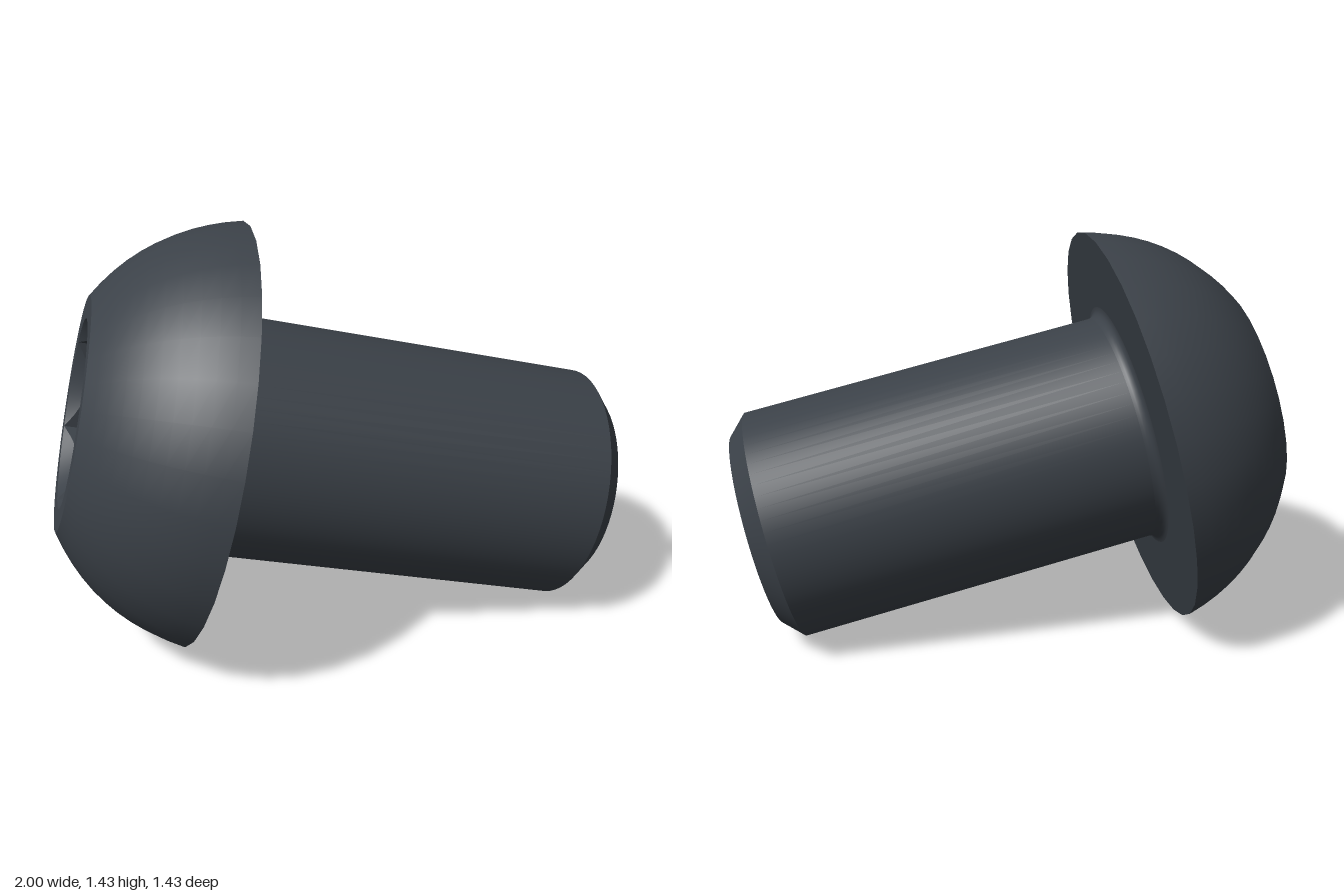
import * as THREE from 'three';
import { toCreasedNormals } from 'three/addons/utils/BufferGeometryUtils.js';

const HEAD_R = 0.733, HEAD_H = 0.461, FACE_R = 0.4;
const SHANK_R = 0.418, TIP_R = 0.351, LENGTH = 1.4;
const HEX_FLAT = 0.279, HEX_CORNER = HEX_FLAT / Math.cos(Math.PI / 6);
const SOCKET_DEPTH = 0.32, BEVEL_DEPTH = 0.06;

export function createModel() {
  const steel = new THREE.MeshStandardMaterial({ color: 0x3b4148 });
  steel.name = 'dark steel';

  const model = new THREE.Group();
  model.name = 'buttonHeadScrew';

  const add = (name, geometry) => {
    const mesh = new THREE.Mesh(geometry, steel);
    mesh.name = name;
    model.add(mesh);
  };
  // Each band is turned on its own, so the edges between bands stay sharp
  const turn = (name, points, sides = 32) =>
    add(name, new THREE.LatheGeometry(points.map(([r, y]) => new THREE.Vector2(r, y)), sides));

  // Shank, from the tip up to the fillet under the head
  const chamferY = -LENGTH + SHANK_R - TIP_R;
  turn('tipFace', [[0, -LENGTH], [TIP_R, -LENGTH]], 64);
  turn('tipChamfer', [[TIP_R, -LENGTH], [SHANK_R, chamferY]], 64);
  const fillet = 0.035;
  turn('shank', [[SHANK_R, chamferY], [SHANK_R, -fillet]], 64);
  const filletPoints = [];
  for (let i = 0; i <= 5; i++) {
    const a = (i / 5) * Math.PI / 2;
    filletPoints.push([SHANK_R + fillet * (1 - Math.cos(a)), -fillet * (1 - Math.sin(a))]);
  }
  turn('fillet', filletPoints, 64);

  // Domed head
  turn('headUnderside', [[SHANK_R + fillet, 0], [HEAD_R, 0]]);
  const dome = [];
  const chord = Math.hypot(HEAD_R - FACE_R, HEAD_H);
  for (let i = 0; i <= 10; i++) {
    const t = i / 10, bulge = 4 * 0.06 * t * (1 - t);
    dome.push([
      HEAD_R + (FACE_R - HEAD_R) * t + bulge * HEAD_H / chord,
      HEAD_H * t + bulge * (HEAD_R - FACE_R) / chord,
    ]);
  }
  turn('headDome', dome);
  turn('headFace', [[FACE_R, HEAD_H], [HEX_CORNER, HEAD_H]], 48);

  // Hex socket: a turned pocket whose lower rings are pressed into a hexagon
  const floorY = HEAD_H - SOCKET_DEPTH;
  const rings = [[HEX_CORNER, HEAD_H], [HEX_CORNER, HEAD_H - BEVEL_DEPTH], [HEX_CORNER, floorY], [0, floorY]];
  const socket = new THREE.LatheGeometry(rings.map(([r, y]) => new THREE.Vector2(r, y)), 48);
  const pos = socket.attributes.position;
  for (let i = 0; i < pos.count; i++) {
    const ring = i % 4, step = Math.floor(i / 4);
    if (ring !== 1 && ring !== 2) continue;
    const phi = step * Math.PI / 24;
    const r = HEX_FLAT / Math.cos((step % 8) * Math.PI / 24 - Math.PI / 6);
    const bevel = BEVEL_DEPTH * (HEX_CORNER - r) / (HEX_CORNER - HEX_FLAT);
    pos.setXYZ(i, r * Math.sin(phi), ring === 1 ? HEAD_H - bevel : floorY, r * Math.cos(phi));
  }
  add('hexSocket', toCreasedNormals(socket, 0.4));

  // Lay the screw over, with one socket corner pointing down
  const up = new THREE.Vector3(-0.9517, 0.2313, -0.2018).normalize();
  const corner = new THREE.Vector3(0, -1, 0).projectOnPlane(up).normalize();
  const side = new THREE.Vector3().crossVectors(up, corner);
  model.quaternion.setFromRotationMatrix(new THREE.Matrix4().makeBasis(side, up, corner));
  model.position.set(-0.44, 0.715, 0);

  const root = new THREE.Group();
  root.name = 'screw';
  root.add(model);
  return root;
}
